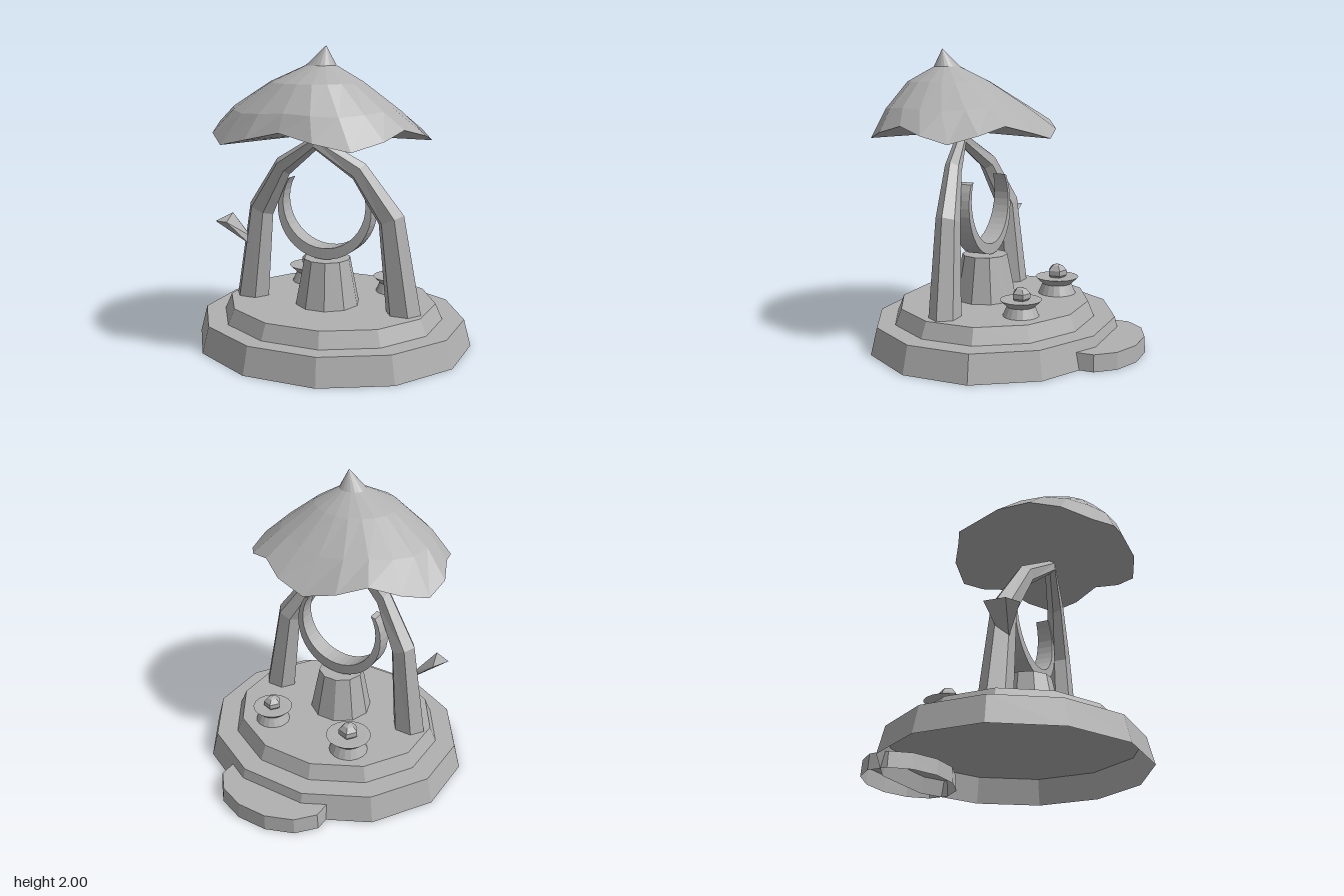
import * as THREE from 'three';
import { ConvexGeometry } from 'three/addons/geometries/ConvexGeometry.js';

const V = (x, y, z) => new THREE.Vector3(x, y, z);
const rad = THREE.MathUtils.degToRad;

// Skin a list of closed cross-sections; a ring of equal points closes an end.
function loft(rings) {
  const pos = [];
  const tri = (a, b, c) => {
    if (a.equals(b) || b.equals(c) || a.equals(c)) return;
    for (const p of [a, b, c]) pos.push(p.x, p.y, p.z);
  };
  for (let i = 0; i < rings.length - 1; i++) {
    const n = rings[i].length;
    for (let j = 0; j < n; j++) {
      const k = (j + 1) % n;
      tri(rings[i][j], rings[i][k], rings[i + 1][k]);
      tri(rings[i][j], rings[i + 1][k], rings[i + 1][j]);
    }
  }
  const g = new THREE.BufferGeometry();
  g.setAttribute('position', new THREE.Float32BufferAttribute(pos, 3));
  g.computeVertexNormals();
  return g;
}

// Faceted turned shape from [radius, height] pairs.
function turned(points, sides, turn = 0, depth = 1) {
  const g = new THREE.LatheGeometry(points.map(p => new THREE.Vector2(...p)), sides);
  return g.rotateY(turn).scale(1, 1, depth);
}

const collapsed = (p, n) => Array.from({ length: n }, () => p.clone());

// Curved hexagonal leg, leaning forward and meeting its twin at x = 0.
function legGeometry() {
  const nodes = [ // x, y, z, radius, tilt of the section
    [0.55, 0.28, 0.22, 0.12, 0], [0.465, 0.9, 0.235, 0.092, 22],
    [0.268, 1.21, 0.295, 0.068, 50], [0, 1.39, 0.368, 0.05, 90],
  ];
  return loft(nodes.map(([x, y, z, r, tilt]) => Array.from({ length: 6 }, (_, j) => {
    const a = rad(30 + j * 60), o = r * Math.sin(a);
    return V(x + o * Math.cos(rad(tilt)), y + o * Math.sin(rad(tilt)), z + r * 0.85 * Math.cos(a));
  })));
}

// Upward-opening crescent, thickest at the bottom.
function crescentGeometry() {
  const rings = [], n = 26;
  for (let i = 0; i <= n; i++) {
    const t = rad(148 + 244 * i / n), c = Math.cos(t), s = Math.sin(t);
    const d = 0.053 - 0.017 * s;
    const ox = 0.335 * c, oy = 0.935 + 0.335 * s, ix = 0.295 * c, iy = 0.968 + 0.295 * s;
    rings.push([V(ox, oy, 0.2 + d), V(ox, oy, 0.2 - d), V(ix, iy, 0.2 - d), V(ix, iy, 0.2 + d)]);
  }
  const mid = r => collapsed(r[0].clone().add(r[2]).multiplyScalar(0.5), 4);
  return loft([mid(rings[0]), ...rings, mid(rings[n])]);
}

// Scalloped canopy with five drooping points and an off-centre tip.
function canopyGeometry() {
  const sides = 20;
  const ring = (cx, cz, rx, rzFront, rzBack, y, lift, pinch) =>
    Array.from({ length: sides }, (_, j) => {
      const a = j / sides * Math.PI * 2;
      const k = j % 4, high = k === 0 ? 1 : k === 2 ? 0 : 0.5; // 1 at raised arches, 0 at drooping points
      const r = 1 - pinch * (k % 2 ? 0.3 : high);
      const c = Math.cos(a);
      return V(cx + rx * r * Math.sin(a), y + lift * high, cz + (c > 0 ? rzFront : rzBack) * r * c);
    });
  return loft([
    collapsed(V(0, 1.44, 0.33), sides),
    ring(0, 0.3, 0.725, 0.65, 0.59, 1.41, 0.1, 0.09),
    ring(0.01, 0.385, 0.54, 0.475, 0.465, 1.6, 0.02, 0.02),
    ring(0.04, 0.43, 0.29, 0.29, 0.265, 1.78, 0, 0),
    ring(0.07, 0.435, 0.095, 0.09, 0.085, 1.88, 0, 0),
    collapsed(V(0.11, 2, 0.45), sides),
  ]);
}

export function createModel() {
  const model = new THREE.Group();
  model.name = 'shrine';
  const stone = new THREE.MeshStandardMaterial({ color: 0xb0b0b0, flatShading: true, side: THREE.DoubleSide });
  stone.name = 'stone grey';

  const add = (name, geometry, x = 0, y = 0, z = 0, parent = model) => {
    const m = new THREE.Mesh(geometry, stone);
    m.name = name;
    m.position.set(x, y, z);
    parent.add(m);
    return m;
  };

  // Stepped base, open underneath
  const t12 = rad(15);
  add('lowerTier', turned([[0.947, 0], [0.9, 0.18], [0, 0.18]], 12, t12, 0.905), 0, 0, 0.105);
  add('upperTier', turned([[0.756, 0.18], [0.71, 0.285], [0, 0.285]], 12, t12, 0.905), 0, 0, 0.118);
  add('backStep', turned([[0.412, 0], [0.402, 0.11], [0, 0.11]], 12, t12, 0.67), 0, 0, -0.665);

  // Pedestal and crescent
  add('pedestal', turned([[0.218, 0.28], [0.157, 0.595], [0, 0.595]], 10, rad(18)), 0, 0, 0.193);
  add('crescent', crescentGeometry());

  // Pair of arching legs
  const leg = legGeometry();
  add('leftLeg', leg);
  add('rightLeg', leg).scale.x = -1;

  // Small bud growing from the right leg
  add('bud', new ConvexGeometry([
    V(-0.745, 0.815, 0.375), V(-0.705, 0.845, 0.21), V(-0.635, 0.825, 0.42),
    V(-0.535, 0.66, 0.3), V(-0.535, 0.71, 0.28), V(-0.545, 0.69, 0.24),
  ]));

  // Roof
  add('canopy', canopyGeometry());

  // Two lidded pots behind the legs
  for (const [name, x, z, s] of [['rightPot', -0.315, -0.225, 1], ['leftPot', 0.322, -0.215, 0.9]]) {
    const pot = new THREE.Group();
    pot.name = name;
    pot.position.set(x, 0.285, z);
    pot.scale.setScalar(s);
    model.add(pot);
    add('potBody', turned([[0.132, 0], [0.102, 0.07], [0.153, 0.118], [0.12, 0.118], [0, 0.112]], 18), 0, 0, 0, pot);
    add('potKnob', turned([[0.05, 0.11], [0.068, 0.13], [0.068, 0.165], [0.038, 0.198], [0, 0.21]], 5, rad(-90)), 0, 0, 0, pot);
  }
  return model;
}
